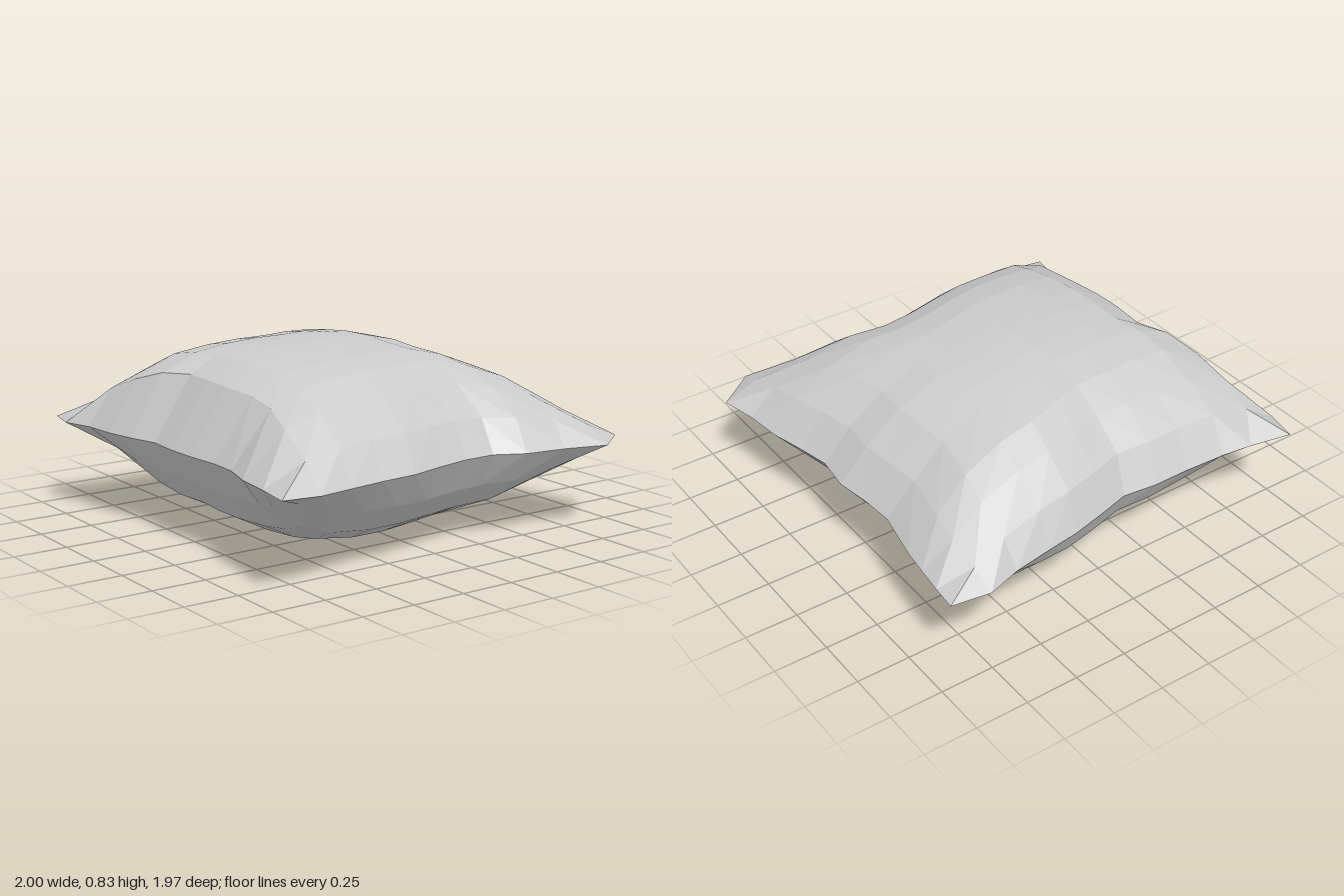
import * as THREE from 'three';

const NX = 12, NZ = 11, RIM_Y = 0.425;

// Seam outline as [x, z] points; each side runs towards +x or +z.
const back = [[-0.97, -0.93], [-0.85, -0.92], [-0.72, -0.905], [-0.6, -0.89], [-0.35, -0.84], [-0.2, -0.85],
  [-0.03, -0.875], [0.14, -0.855], [0.3, -0.89], [0.46, -0.93], [0.64, -0.95], [0.81, -0.99], [0.97, -0.99]];
const front = [[-0.91, 0.95], [-0.76, 0.98], [-0.62, 0.935], [-0.45, 0.92], [-0.3, 0.89], [-0.16, 0.85],
  [0, 0.86], [0.15, 0.855], [0.32, 0.84], [0.46, 0.845], [0.62, 0.89], [0.8, 0.91], [0.98, 0.94]];
const left = [[-0.97, -0.93], [-1, -0.75], [-0.95, -0.59], [-0.92, -0.4], [-0.9, -0.25], [-0.86, -0.08],
  [-0.82, 0.07], [-0.84, 0.23], [-0.84, 0.4], [-0.85, 0.6], [-0.87, 0.75], [-0.91, 0.95]];
const right = [[0.97, -0.99], [0.95, -0.81], [0.9, -0.6], [0.88, -0.4], [0.82, -0.26], [0.83, -0.1],
  [0.87, 0.07], [0.92, 0.24], [0.94, 0.42], [0.97, 0.6], [1, 0.77], [0.98, 0.94]];

// Fullness by number of cells from the seam.
const GENTLE = [0, 0.38, 0.69, 0.88, 0.96, 0.99, 1];
const STEEP = [0, 0.73, 0.92, 0.98, 1, 1, 1];

// How far those cells swell outwards on each side.
const SWELL_LEFT = [0, 0.03, 0.01, 0, 0, 0, 0];
const SWELL_RIGHT = [0, 0.05, 0.06, 0.05, 0.03, 0, 0];
const SWELL_BACK = [0, 0.04, 0.04, 0.02, 0, 0, 0];
const SWELL_FRONT = [0, 0.06, 0.09, 0.1, 0.06, 0.02, 0];

// The upper front fold leans forward and sinks towards its right-hand corner.
const FOLD_LEAN = [0, 0.05, 0.08, 0.06, 0.03];
const FOLD_SINK = [1, 0.8, 0.84, 0.9, 1];

// Blend the four seam sides into an inner grid point.
function patch(i, j, k) {
  const u = i / NX, v = j / NZ;
  return (1 - v) * back[i][k] + v * front[i][k] + (1 - u) * left[j][k] + u * right[j][k]
    - (1 - u) * (1 - v) * back[0][k] - u * (1 - v) * back[NX][k]
    - (1 - u) * v * front[0][k] - u * v * front[NX][k];
}

// One half of the cushion: side is 1 for the top, -1 for the underside.
function cushionHalf(name, side) {
  const positions = [], index = [];
  for (let j = 0; j <= NZ; j++) {
    for (let i = 0; i <= NX; i++) {
      const di = Math.min(i, NX - i), dj = Math.min(j, NZ - j);
      const steep = side > 0 && j > NZ / 2;
      let x = patch(i, j, 0), z = patch(i, j, 1);
      x += (i < NX / 2 ? -SWELL_LEFT[di] : SWELL_RIGHT[di]) * Math.min(1, dj / 2);
      if (!steep) z += (j < NZ / 2 ? -SWELL_BACK[dj] : SWELL_FRONT[dj]) * Math.min(1, di / 2);
      let full = GENTLE[di] * (steep ? STEEP : GENTLE)[dj];
      if (steep && j === NZ - 1) {
        z += FOLD_LEAN[i] ?? 0;
        full *= FOLD_SINK[i] ?? 1;
      }
      // the back left corner is tucked in
      if (i === NX && j === 0) {
        x -= 0.09;
        z += 0.09;
      }
      const seam = RIM_Y + 0.025 * (j / NZ - 0.5);
      const peak = side > 0 ? 0.84 : 0.003;
      positions.push(x, seam + (peak - seam - 0.02 * x) * full, z);
    }
  }
  for (let j = 0; j < NZ; j++) {
    for (let i = 0; i < NX; i++) {
      const a = j * (NX + 1) + i, b = a + 1, c = a + NX + 1, d = c + 1;
      // fold each cell along the diagonal that points to its corner
      const alongAD = (i < NX / 2) === (j < NZ / 2);
      const tris = alongAD ? [a, c, d, a, d, b] : [a, c, b, b, c, d];
      index.push(...(side > 0 ? tris : tris.reverse()));
    }
  }
  const geometry = new THREE.BufferGeometry();
  geometry.setAttribute('position', new THREE.Float32BufferAttribute(positions, 3));
  geometry.setIndex(index);
  geometry.computeVertexNormals();
  const mesh = new THREE.Mesh(geometry, new THREE.MeshStandardMaterial({ color: 0xcccccc, flatShading: true }));
  mesh.name = name;
  return mesh;
}

export function createModel() {
  const group = new THREE.Group();
  group.name = 'cushion';
  group.add(cushionHalf('cushionTop', 1), cushionHalf('cushionUnderside', -1));
  return group;
}
